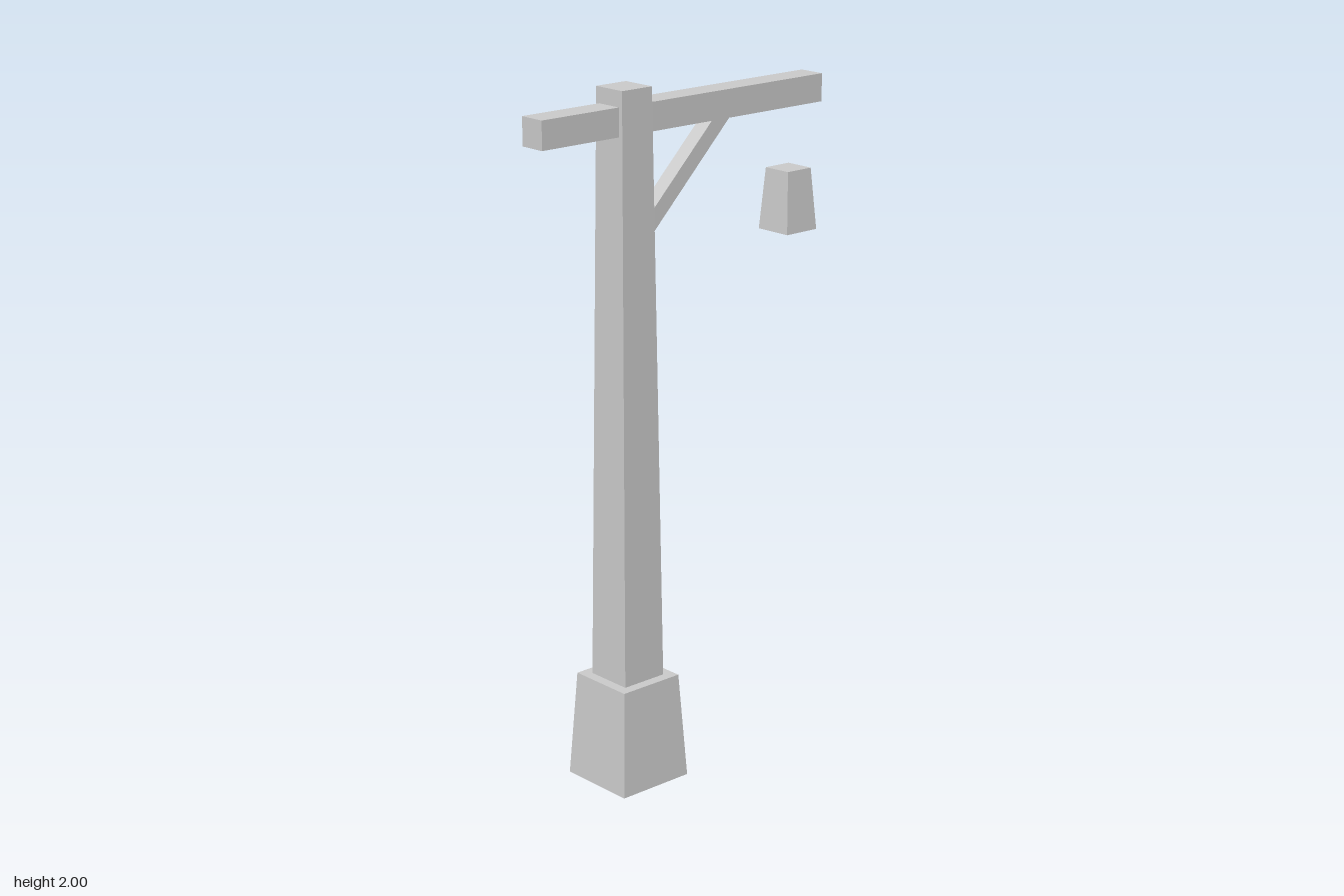
import * as THREE from 'three';

const material = new THREE.MeshStandardMaterial({ color: 0xcccccc, flatShading: true });

function add(group, name, geometry, x = 0, y = 0, z = 0) {
  const mesh = new THREE.Mesh(geometry, material);
  mesh.name = name;
  mesh.position.set(x, y, z);
  group.add(mesh);
}

// Square block standing on y = 0 that narrows from half-width `bottom` to `top`
function taperedBlock(bottom, top, height) {
  const geometry = new THREE.CylinderGeometry(top * Math.SQRT2, bottom * Math.SQRT2, height, 4);
  return geometry.rotateY(Math.PI / 4).translate(0, height / 2, 0);
}

export function createModel() {
  const group = new THREE.Group();
  group.name = 'lampPost';
  const postX = -0.194;

  // Plinth and tapering post
  add(group, 'base', taperedBlock(0.12, 0.102, 0.31), postX);
  add(group, 'post', taperedBlock(0.0715, 0.0525, 1.69), postX, 0.31);

  // Horizontal beam through the post
  add(group, 'beam', new THREE.BoxGeometry(1.02, 0.08, 0.08), 0, 1.915);

  // Diagonal brace, its ends let into the post and the beam
  const outline = new THREE.Shape([
    new THREE.Vector2(-0.15, 1.555),
    new THREE.Vector2(0.18, 1.885),
    new THREE.Vector2(0.115, 1.885),
    new THREE.Vector2(-0.15, 1.62),
  ]);
  const brace = new THREE.ExtrudeGeometry(outline, { depth: 0.05, bevelEnabled: false });
  add(group, 'brace', brace, 0, 0, -0.025);

  // Lantern hanging free below the end of the beam
  add(group, 'lantern', taperedBlock(0.058, 0.045, 0.178), 0.421, 1.513);

  return group;
}
